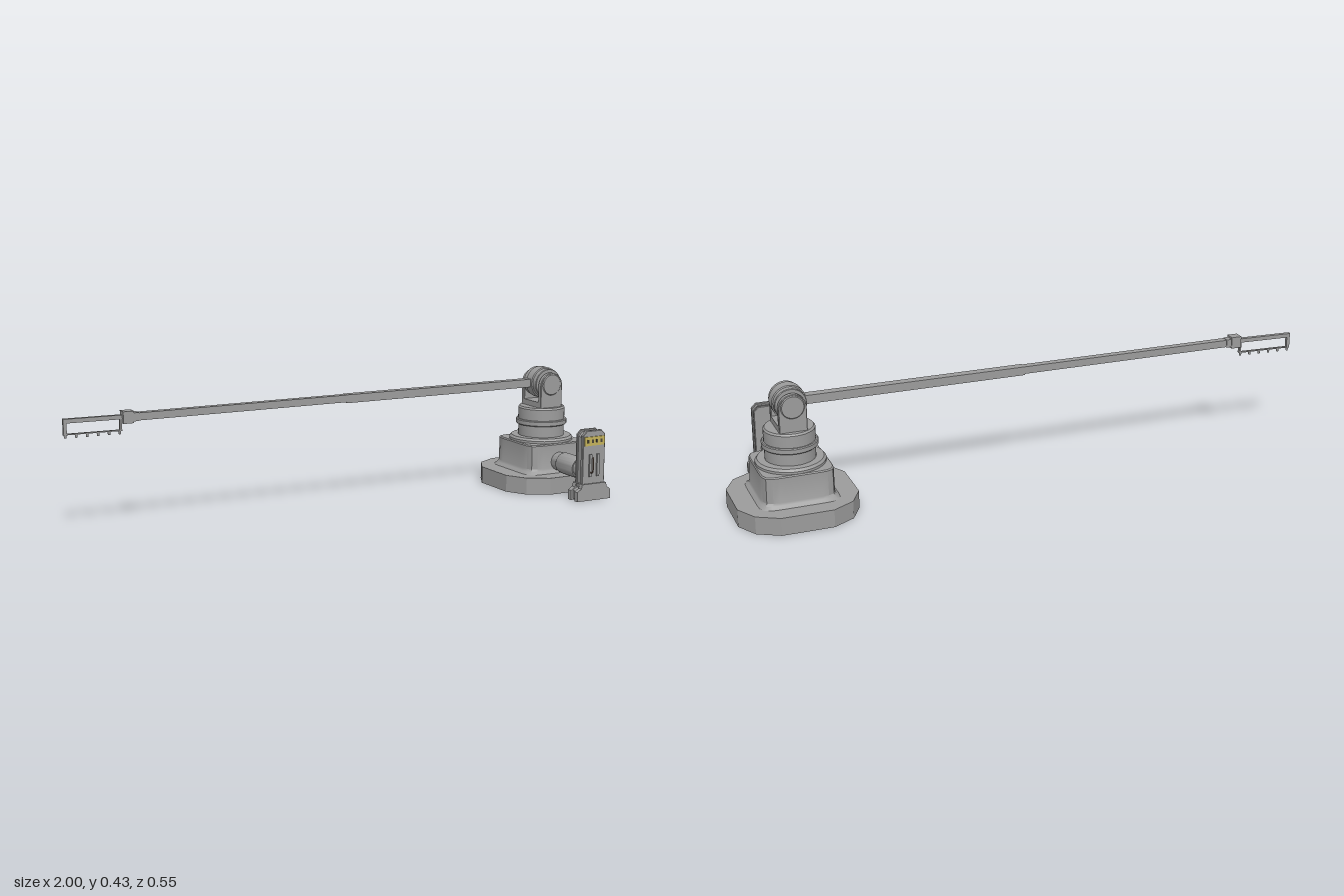
import * as THREE from 'three';
import { toCreasedNormals } from 'three/addons/utils/BufferGeometryUtils.js';

const grey = new THREE.MeshStandardMaterial({ color: 0x9c9c9c });
const yellow = new THREE.MeshStandardMaterial({ color: 0xc4b25a });
const dark = new THREE.MeshStandardMaterial({ color: 0x4a4538 });
const brown = new THREE.MeshStandardMaterial({ color: 0x6e5a4e });
const CX = 0.8, CZ = -0.077, AXLE_Y = 0.373;

function add(parent, name, geo, x = 0, y = 0, z = 0, mat = grey) {
  const m = new THREE.Mesh(geo, mat);
  m.name = name;
  m.position.set(x, y, z);
  parent.add(m);
  return m;
}
const box = (w, h, d) => new THREE.BoxGeometry(w, h, d);
const group = (parent, name) => {
  const g = new THREE.Group();
  g.name = name;
  parent.add(g);
  return g;
};
// turned part from [radius, height] pairs
const lathe = (pts, seg = 32) =>
  toCreasedNormals(new THREE.LatheGeometry(pts.map(p => new THREE.Vector2(...p)), seg), 0.6);
// extrusion centred on its depth
function slab(shape, depth, bevel = 0) {
  const g = new THREE.ExtrudeGeometry(shape, {
    depth: depth - 2 * bevel, curveSegments: 16, bevelEnabled: bevel > 0,
    bevelSize: bevel, bevelThickness: bevel, bevelOffset: -bevel, bevelSegments: 1,
  });
  return toCreasedNormals(g.translate(0, 0, -depth / 2 + bevel), 0.5);
}
const poly = pts => new THREE.Shape(pts.map(p => new THREE.Vector2(...p)));

// rounded-square rings stacked along y, levels are [height, half width]
function loft(levels, power, seg = 48) {
  const pos = [], idx = [];
  for (const [y, r] of levels) {
    for (let i = 0; i < seg; i++) {
      const a = (i / seg) * Math.PI * 2, c = Math.cos(a), s = Math.sin(a);
      const k = r / Math.pow(Math.abs(c) ** power + Math.abs(s) ** power, 1 / power);
      pos.push(c * k, y, s * k);
    }
  }
  for (let l = 0; l < levels.length - 1; l++) {
    for (let i = 0; i < seg; i++) {
      const a = l * seg + i, b = l * seg + (i + 1) % seg;
      idx.push(a, a + seg, b, b, a + seg, b + seg);
    }
  }
  const last = (levels.length - 1) * seg;
  for (let i = 1; i < seg - 1; i++) idx.push(last, last + i + 1, last + i);
  const g = new THREE.BufferGeometry();
  g.setAttribute('position', new THREE.Float32BufferAttribute(pos, 3));
  g.setIndex(idx);
  return toCreasedNormals(g, 0.5);
}

function buildPedestal(root) {
  const g = group(root, 'pedestal');
  g.position.set(CX, 0, CZ);
  // twelve-sided floor slab
  const q = [[0.2, 0.083], [0.16, 0.155], [0.086, 0.196]];
  const back = q.slice().reverse();
  const outline = [
    ...q, ...back.map(([x, y]) => [-x, y]),
    ...q.map(([x, y]) => [-x, -y]), ...back.map(([x, y]) => [x, -y]),
  ];
  add(g, 'floorSlab', slab(poly(outline), 0.06), 0, 0.03, 0).rotation.x = -Math.PI / 2;
  // square housing with flared foot
  add(g, 'housing', loft([[0.058, 0.137], [0.063, 0.13], [0.069, 0.124], [0.077, 0.12], [0.161, 0.119], [0.165, 0.116]], 8));
  add(g, 'housingLip', lathe([[0, 0.16], [0.115, 0.16], [0.115, 0.173], [0.108, 0.181], [0, 0.181]], 40));
  // swivel column with collar
  add(g, 'column', lathe([
    [0.083, 0.18], [0.083, 0.222], [0.089, 0.222], [0.092, 0.225], [0.092, 0.239], [0.089, 0.242],
    [0.084, 0.242], [0.084, 0.282], [0.079, 0.288], [0, 0.288],
  ], 40));
}

function buildHead(root) {
  const g = group(root, 'swivelHead');
  g.position.set(CX, 0, CZ);
  add(g, 'forkBase', box(0.092, 0.022, 0.12), 0, 0.297, 0);
  // fork cheeks with round tops
  const cheek = new THREE.Shape();
  cheek.moveTo(-0.046, 0.285);
  cheek.lineTo(0.046, 0.285);
  cheek.lineTo(0.046, 0.368);
  cheek.absarc(0, 0.368, 0.046, 0, Math.PI);
  for (const s of [-1, 1]) {
    add(g, 'forkCheek', slab(cheek, 0.018, 0.002), 0, 0, s * 0.054);
    const cap = add(g, 'axleCap', lathe([[0.039, 0], [0.039, 0.006], [0.036, 0.009], [0, 0.009]]), 0, AXLE_Y - 0.001, s * 0.057);
    cap.rotation.x = s * Math.PI / 2;
  }
  // stepped drum on the axle
  const half = [[0.03, 0.05], [0.03, 0.041], [0.051, 0.041], [0.053, 0.039], [0.053, 0.02], [0.057, 0.018]];
  const profile = [...half.map(([r, y]) => [r, -y]), ...half.slice().reverse()];
  add(g, 'drum', lathe(profile), 0, AXLE_Y, 0).rotation.x = Math.PI / 2;
}

function buildBoom(root) {
  const g = group(root, 'boom');
  g.position.set(CX, AXLE_Y, CZ - 0.005);
  g.rotation.y = -0.0145;
  // two telescoping beams
  add(g, 'innerBeam', box(0.78, 0.029, 0.03), -0.41, 0.001, 0);
  add(g, 'outerBeam', box(0.8, 0.025, 0.025), -1.19, 0.002, 0);
  add(g, 'wristBlock', box(0.036, 0.04, 0.034), -1.588, 0.003, 0);
  add(g, 'wristCollar', box(0.02, 0.028, 0.028), -1.562, 0.002, 0);

  // hanging frame with a row of pegs
  const tip = group(g, 'endFrame');
  tip.position.set(-1.588, 0, 0);
  tip.rotation.y = -0.05;
  add(tip, 'topRail', box(0.212, 0.014, 0.014), -0.106, 0.004, 0);
  add(tip, 'bottomRail', box(0.192, 0.004, 0.008), -0.116, -0.04, 0);
  add(tip, 'outerPost', box(0.011, 0.05, 0.012), -0.206, -0.017, 0);
  add(tip, 'innerPost', box(0.007, 0.05, 0.012), -0.022, -0.017, 0);
  for (let i = 0; i < 6; i++) {
    add(tip, 'peg', new THREE.CylinderGeometry(0.005, 0.004, 0.013, 8), -0.205 + i * 0.036, -0.046, 0);
  }
}

function buildConsole(root) {
  const g = group(root, 'console');
  g.position.set(CX, 0, 0);
  // stepped connecting pipe
  add(g, 'connectingPipe', lathe([
    [0.033, 0.03], [0.033, 0.075], [0.036, 0.075], [0.038, 0.078], [0.038, 0.175], [0.036, 0.178],
    [0.032, 0.178], [0.032, 0.22],
  ]), 0, 0.1, 0).rotation.x = Math.PI / 2;

  const panel = group(g, 'panel');
  panel.position.x = 0.003;
  // upright body: core between two chamfered plates
  const plate = (w, top) => poly([
    [-w, 0.04], [w, 0.04], [w, top - 0.016], [w - 0.016, top], [-w + 0.016, top], [-w, top - 0.016],
  ]);
  add(panel, 'bodyCore', slab(plate(0.043, 0.242), 0.022), 0, 0, 0.228);
  add(panel, 'frontPlate', slab(plate(0.047, 0.249), 0.014, 0.002), 0, 0, 0.246);
  add(panel, 'backPlate', slab(plate(0.047, 0.249), 0.01, 0.002), 0, 0, 0.214);

  // foot with sloped shoulders, grooved in the middle
  const foot = (w, y0) => poly([
    [-w, y0], [w, y0], [w, 0.034], [w - 0.016, 0.045], [0.05, 0.06], [-0.05, 0.06], [-w + 0.016, 0.045], [-w, 0.034],
  ]);
  add(panel, 'footCore', slab(foot(0.062, 0.004), 0.03), 0, 0, 0.231);
  for (const z of [0.2115, 0.2505]) add(panel, 'footPlate', slab(foot(0.07, 0), 0.018), 0, 0, z);

  // display with rows of dark marks
  add(panel, 'display', box(0.084, 0.032, 0.006), 0, 0.212, 0.254, yellow);
  for (let i = 0; i < 4; i++) {
    add(panel, 'displayMark', box(0.008, 0.012, 0.001), -0.027 + i * 0.018, 0.212, 0.2572, dark);
  }

  // lever on its slotted plate
  for (const x of [-0.016, 0.016]) add(panel, 'leverGuide', box(0.01, 0.08, 0.007), x, 0.125, 0.2555);
  const path = new THREE.CatmullRomCurve3([
    [0.25, 0.101], [0.265, 0.101], [0.27, 0.103], [0.272, 0.108], [0.272, 0.155],
  ].map(([z, y]) => new THREE.Vector3(-0.016, y, z)));
  add(panel, 'lever', new THREE.TubeGeometry(path, 20, 0.0026, 8), 0, 0, 0, brown);
  add(panel, 'leverTip', new THREE.SphereGeometry(0.0034, 12, 8), -0.016, 0.155, 0.272, brown);
}

export function createModel() {
  const root = new THREE.Group();
  root.name = 'roboticArm';
  buildPedestal(root);
  buildHead(root);
  buildBoom(root);
  buildConsole(root);
  return root;
}
